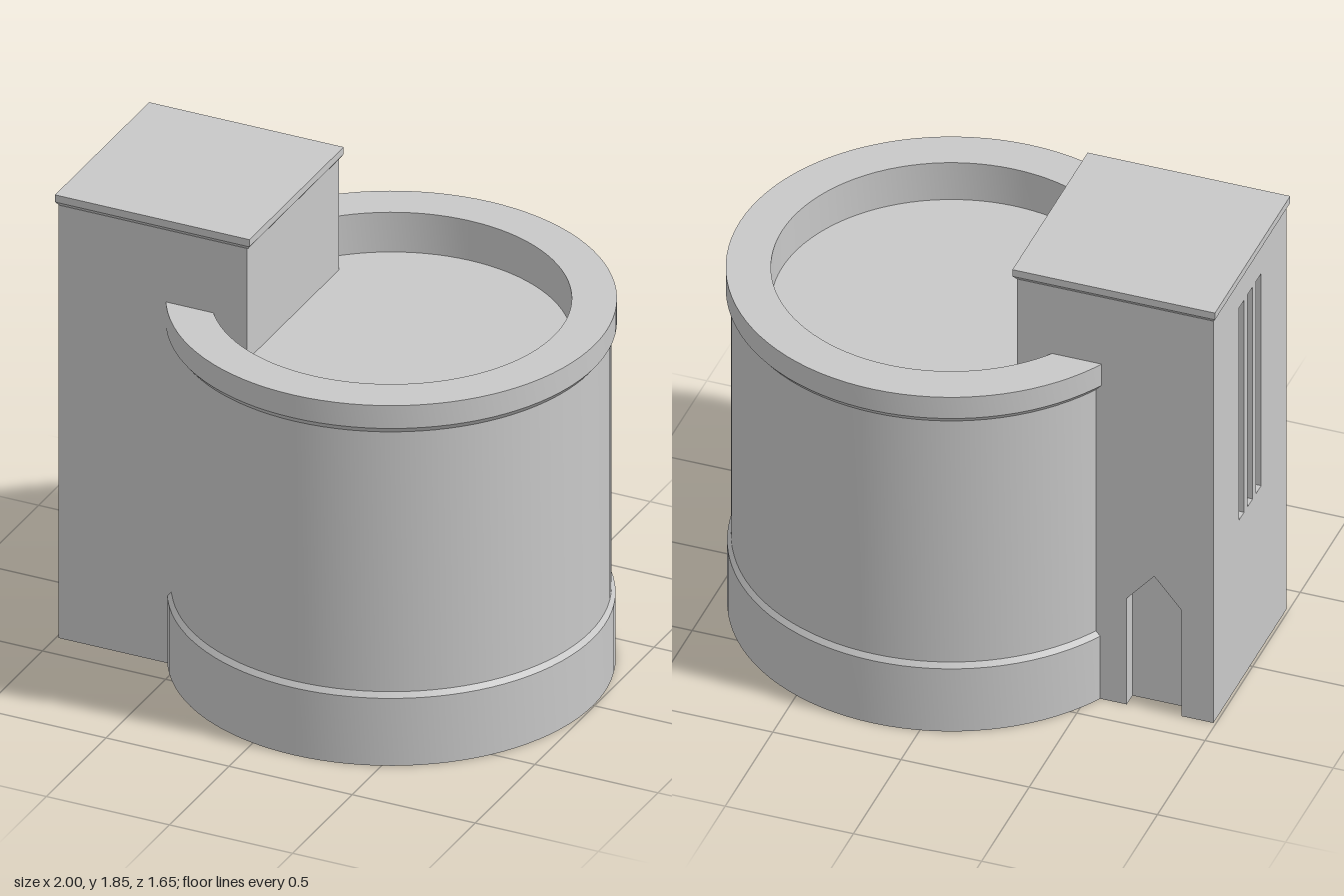
import * as THREE from 'three';
import { toCreasedNormals } from 'three/addons/utils/BufferGeometryUtils.js';

const stone = new THREE.MeshStandardMaterial({ color: 0xc8c8c8 });
stone.name = 'pale grey stone';

const DRUM_X = 0.175;
// Tower extents
const X0 = -0.99, X1 = -0.225, Z = 0.385, TOP = 1.8, RECESS = 0.06;

function add(group, name, geometry, x = 0, y = 0, z = 0) {
  const mesh = new THREE.Mesh(geometry, stone);
  mesh.name = name;
  mesh.position.set(x, y, z);
  group.add(mesh);
  return mesh;
}

function turned(points) {
  const profile = points.map(([r, y]) => new THREE.Vector2(r, y));
  return toCreasedNormals(new THREE.LatheGeometry(profile, 96), Math.PI / 7);
}

function polygon(points) {
  return new THREE.Shape(points.map(([x, y]) => new THREE.Vector2(x, y)));
}

const plate = (shape) => new THREE.ExtrudeGeometry(shape, { depth: RECESS, bevelEnabled: false });

function buildDrum() {
  const drum = new THREE.Group();
  drum.name = 'roundDrum';
  drum.position.x = DRUM_X;
  add(drum, 'plinth', turned([[0, 0], [0.82, 0], [0.82, 0.28], [0.805, 0.3]]));
  add(drum, 'curvedWall', turned([[0.805, 0.3], [0.805, 1.38]]));
  add(drum, 'parapet', turned([[0.805, 1.38], [0.825, 1.405], [0.825, 1.5], [0.66, 1.5], [0.66, 1.335]]));
  add(drum, 'sunkenRoof', turned([[0.66, 1.335], [0, 1.335]]));
  return drum;
}

function buildTower() {
  const tower = new THREE.Group();
  tower.name = 'squareTower';

  // Solid core, set back behind the two pierced walls
  const cx0 = X0 + RECESS, cz0 = -Z + RECESS;
  add(tower, 'towerCore', new THREE.BoxGeometry(X1 - cx0, TOP, Z - cz0),
    (X1 + cx0) / 2, TOP / 2, (Z + cz0) / 2);

  // Outer side wall with three tall slit windows
  const side = polygon([[-Z, 0], [Z, 0], [Z, TOP], [-Z, TOP]]);
  for (const z of [-0.09, 0, 0.09]) {
    const a = z - 0.027, b = z + 0.027;
    side.holes.push(polygon([[a, 0.73], [a, 1.68], [b, 1.68], [b, 0.73]]));
  }
  add(tower, 'slitWindowWall', plate(side).rotateY(-Math.PI / 2), cx0);

  // Back wall with a pointed doorway open to the ground
  const back = polygon([
    [cx0, 0], [-0.865, 0], [-0.865, 0.475], [-0.759, 0.6], [-0.652, 0.475], [-0.652, 0],
    [X1, 0], [X1, TOP], [cx0, TOP],
  ]);
  add(tower, 'doorwayWall', plate(back), 0, 0, -Z);

  // Flat cap with a splayed underside
  const flare = new THREE.CylinderGeometry(0.395 * Math.SQRT2, 0.384 * Math.SQRT2, 0.015, 4, 1);
  flare.rotateY(Math.PI / 4);
  add(tower, 'capFlare', toCreasedNormals(flare, 0.3), -0.605, 1.8075);
  add(tower, 'capSlab', new THREE.BoxGeometry(0.79, 0.03, 0.79), -0.605, 1.83);
  return tower;
}

export function createModel() {
  const model = new THREE.Group();
  model.name = 'roundBuildingWithTower';
  model.add(buildDrum(), buildTower());
  return model;
}
